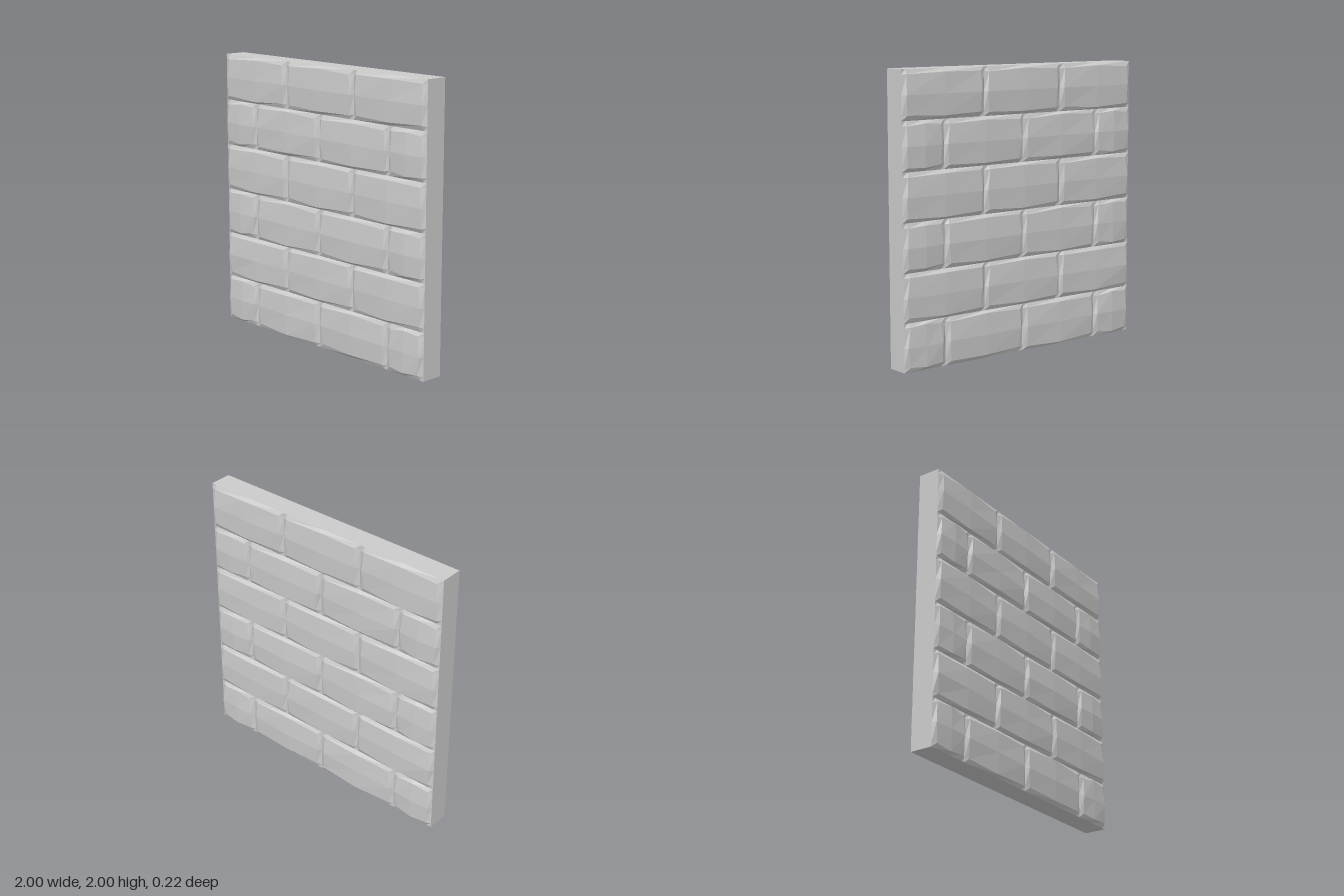
import * as THREE from 'three';

const HALF_CORE = 0.08;
const ROWS = 6;
const ROW_HEIGHT = 2 / ROWS;

// Repeatable value from -1 to 1 for chipped edges
function jitter(seed) {
  const s = Math.sin(seed * 12.9898) * 43758.5453;
  return (s - Math.floor(s)) * 2 - 1;
}

// Pillowed stone face: a 4 x 4 grid with a bevelled rim and a gently domed middle
function brickFace(x0, x1, y0, y1, side, seed) {
  const geometry = new THREE.PlaneGeometry(1, 1, 4, 4);
  const position = geometry.attributes.position;
  for (let k = 0; k < position.count; k++) {
    const column = k % 5;
    const i = side > 0 ? column : 4 - column; // mirrored columns keep the back facing outwards
    const j = 4 - Math.floor(k / 5);
    const rim = i === 0 || i === 4 || j === 0 || j === 4;
    const n = seed * 50 + i * 5 + j;
    // Bevels are narrower at the middle of each edge than at the corners
    const bevelX = (j === 2 ? 0.026 : 0.036) + 0.008 * jitter(n);
    const bevelY = (i === 2 ? 0.02 : 0.031) + 0.005 * jitter(n + 0.5);
    const xs = [x0, x0 + bevelX, (x0 + x1) / 2, x1 - bevelX, x1];
    const ys = [y0, y0 + bevelY, (y0 + y1) / 2, y1 - bevelY, y1];
    const centred = (i === 2 ? 1 : 0) + (j === 2 ? 1 : 0);
    const z = rim ? HALF_CORE : [0.094, 0.103, 0.11][centred] + 0.002 * jitter(n + 0.25);
    position.setXYZ(k, xs[i], ys[j], z * side);
  }
  geometry.computeVertexNormals();
  return geometry;
}

export function createModel() {
  const wall = new THREE.Group();
  wall.name = 'brickWall';
  const material = new THREE.MeshStandardMaterial({ color: 0xcccccc, flatShading: true });

  // Flat slab between the two brick faces
  const core = new THREE.Mesh(new THREE.BoxGeometry(2, 2, HALF_CORE * 2), material);
  core.name = 'wallCore';
  core.position.y = 1;
  wall.add(core);

  // Running bond: full rows alternate with rows that have half bricks at the ends
  const fullRow = [-1, -1 / 3, 1 / 3, 1];
  const offsetRow = [-1, -2 / 3, 0, 2 / 3, 1];
  for (const side of [1, -1]) {
    const face = new THREE.Group();
    face.name = side > 0 ? 'frontBricks' : 'backBricks';
    for (let row = 0; row < ROWS; row++) {
      const joints = row % 2 ? fullRow : offsetRow;
      for (let b = 0; b < joints.length - 1; b++) {
        const y = row * ROW_HEIGHT;
        const brick = new THREE.Mesh(
          brickFace(joints[b], joints[b + 1], y, y + ROW_HEIGHT, side, row * 4 + b + 1), material);
        brick.name = 'brick';
        face.add(brick);
      }
    }
    wall.add(face);
  }
  return wall;
}
